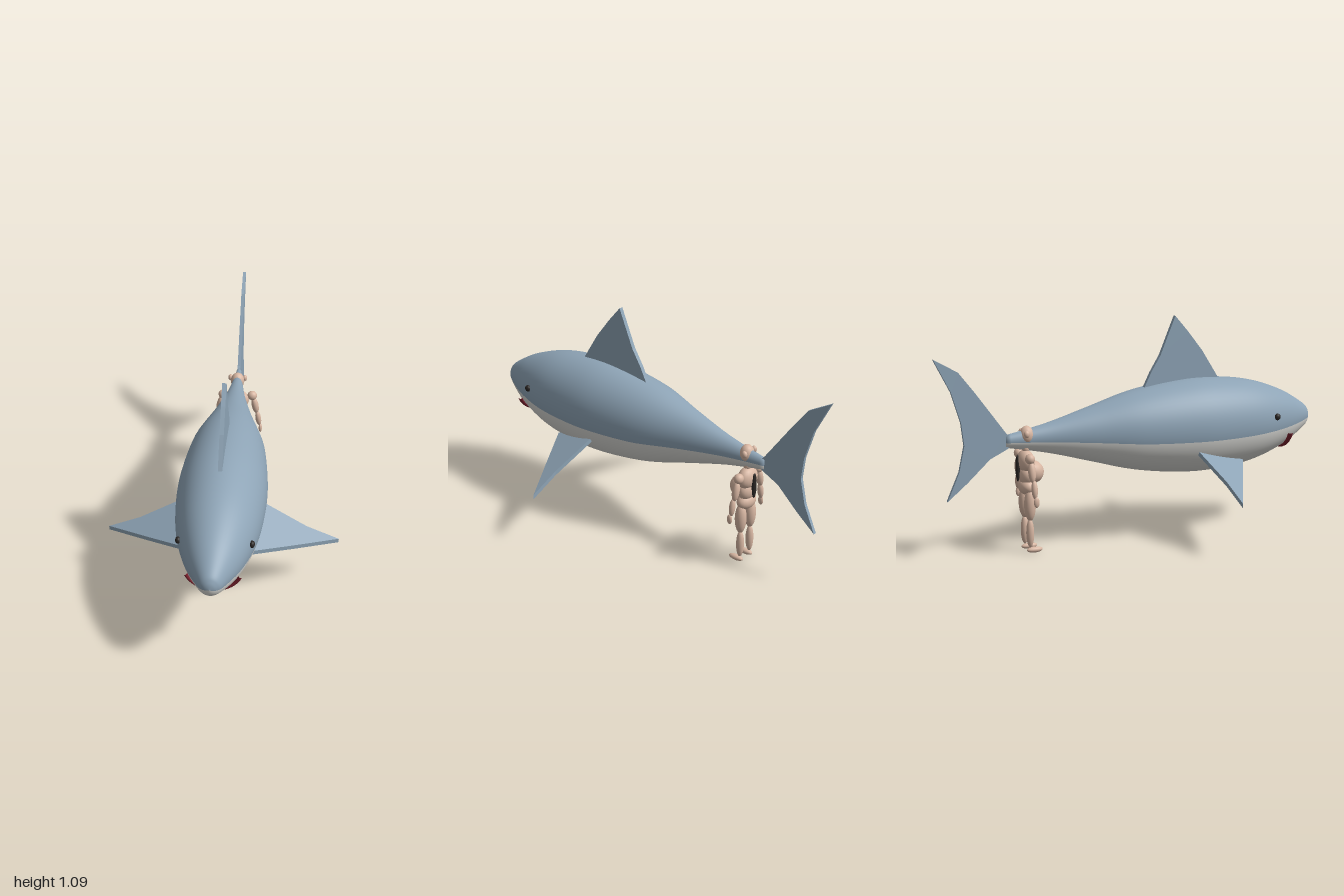
import * as THREE from 'three';

const mat = (name, color) => {
  const m = new THREE.MeshStandardMaterial({ color });
  m.name = name;
  return m;
};

export function createModel() {
  const blue = mat('slate blue', 0x8ea4b6);
  const white = mat('belly white', 0xd8d8d4);
  const skin = mat('skin', 0xd8b7a3);
  const red = mat('mouth red', 0x78202c);
  const dark = mat('dark', 0x2a2624);
  const root = new THREE.Group();
  root.name = 'shark';

  const add = (parent, name, geo, material, x = 0, y = 0, z = 0) => {
    const m = new THREE.Mesh(geo, material);
    m.name = name;
    m.position.set(x, y, z);
    parent.add(m);
    return m;
  };
  const ball = (parent, name, material, [x, y, z], [rx, ry, rz]) =>
    add(parent, name, new THREE.SphereGeometry(1, 20, 14).scale(rx, ry, rz), material, x, y, z);

  // Body: one lathe profile (radius, z) split into back and belly
  const curve = new THREE.SplineCurve([
    [0.03, -0.66], [0.073, -0.45], [0.134, -0.23], [0.192, -0.02], [0.226, 0.2], [0.234, 0.39],
    [0.209, 0.62], [0.147, 0.81], [0.07, 0.945], [0.035, 0.98], [0, 0.99],
  ].map(p => new THREE.Vector2(...p)));
  const profile = [new THREE.Vector2(0, -0.66), ...curve.getPoints(60)];
  profile.forEach(p => { p.x = Math.max(0, p.x); });
  const split = THREE.MathUtils.degToRad(78);
  const bodyPart = (name, material, start, length) => {
    const g = new THREE.LatheGeometry(profile, 32, start, length);
    g.rotateX(Math.PI / 2).scale(0.895, 1, 1);
    const p = g.attributes.position;
    // Narrow the tail sideways
    for (let i = 0; i < p.count; i++) {
      const t = THREE.MathUtils.clamp(-p.getZ(i) / 0.66, 0, 1);
      p.setX(i, p.getX(i) * (1 - 0.5 * t));
    }
    add(root, name, g, material, 0, 0.543, 0);
  };
  bodyPart('back', blue, split, 2 * Math.PI - 2 * split);
  bodyPart('belly', white, -split, 2 * split);

  // Upright fins: outlines in (z, y), extruded across x
  const uprightFin = (name, outline, thick) => {
    const s = new THREE.Shape(outline.map(([z, y]) => new THREE.Vector2(-z, y)));
    const g = new THREE.ExtrudeGeometry(s, { depth: thick, bevelEnabled: false });
    g.translate(0, 0, -thick / 2).rotateY(Math.PI / 2);
    add(root, name, g, blue);
  };
  uprightFin('dorsalFin', [
    [0.46, 0.77], [0.37, 0.91], [0.29, 1.01], [0.22, 1.089], [0.14, 0.9], [0.09, 0.82], [0.05, 0.74], [0.05, 0.65], [0.4, 0.68],
  ], 0.02);
  uprightFin('tailFin', [
    [-0.64, 0.565], [-0.66, 0.585], [-0.805, 0.783], [-0.885, 0.885], [-1, 0.95], [-0.92, 0.794], [-0.876, 0.65],
    [-0.863, 0.54], [-0.89, 0.418], [-0.95, 0.284], [-0.85, 0.365], [-0.74, 0.466], [-0.66, 0.504], [-0.64, 0.515],
  ], 0.016);

  // Side fins: plan outline in (x, z), sheared down and forward
  for (const s of [1, -1]) {
    const outline = [[0.13, 0.54], [0.35, 0.417], [0.555, 0.3], [0.4, 0.3], [0.17, 0.262]];
    const shape = new THREE.Shape(outline.map(([x, z]) => new THREE.Vector2(s * x, -z)));
    const g = new THREE.ExtrudeGeometry(shape, { depth: 0.022, bevelEnabled: false });
    g.rotateX(-Math.PI / 2);
    const p = g.attributes.position;
    for (let i = 0; i < p.count; i++) {
      const x = Math.abs(p.getX(i)), z = p.getZ(i);
      p.setY(i, p.getY(i) + 0.247 - 0.44 * (x - 0.555) - 0.36 * (z - 0.3));
    }
    g.computeVertexNormals();
    add(root, s > 0 ? 'leftFin' : 'rightFin', g, blue);
    ball(root, s > 0 ? 'leftEye' : 'rightEye', dark, [s * 0.165, 0.576, 0.715], [0.013, 0.017, 0.016]);
  }

  // Smile
  const half = 1.2;
  const smile = new THREE.TorusGeometry(0.131, 0.009, 10, 40, 2 * half);
  smile.rotateZ(-Math.PI / 2 - half).scale(1, 1, 1.5);
  add(root, 'mouth', smile, red, 0, 0.526, 0.82);

  // Jointed figure standing beneath the tail
  const figure = new THREE.Group();
  figure.name = 'figure';
  root.add(figure);
  ball(figure, 'head', skin, [0, 0.565, -0.555], [0.035, 0.044, 0.034]);
  ball(figure, 'neck', skin, [0, 0.505, -0.56], [0.018, 0.03, 0.018]);
  ball(figure, 'chest', skin, [0, 0.44, -0.562], [0.06, 0.055, 0.04]);
  ball(figure, 'waist', skin, [0, 0.375, -0.56], [0.052, 0.05, 0.038]);
  ball(figure, 'tummy', skin, [0, 0.386, -0.53], [0.055, 0.055, 0.056]);
  ball(figure, 'pelvis', skin, [0, 0.318, -0.56], [0.058, 0.04, 0.038]);
  ball(figure, 'backPatch', dark, [0, 0.41, -0.602], [0.014, 0.065, 0.01]);
  for (const s of [1, -1]) {
    const limb = (name, c, r, tilt = 0) => {
      ball(figure, name, skin, [s * c[0], c[1], c[2]], r).rotation.z = s * tilt;
    };
    limb('ear', [0.037, 0.575, -0.567], [0.012, 0.017, 0.014]);
    limb('shoulder', [0.076, 0.465, -0.568], [0.025, 0.025, 0.023]);
    limb('upperArm', [0.092, 0.405, -0.565], [0.018, 0.05, 0.018], 0.2);
    limb('forearm', [0.11, 0.325, -0.56], [0.015, 0.044, 0.015], 0.15);
    limb('hand', [0.122, 0.266, -0.555], [0.009, 0.025, 0.014]);
    limb('thigh', [0.037, 0.235, -0.557], [0.028, 0.078, 0.028]);
    limb('calf', [0.037, 0.097, -0.558], [0.019, 0.07, 0.019]);
    limb('foot', [0.037, 0.014, -0.536], [0.016, 0.014, 0.04]);
  }
  return root;
}
